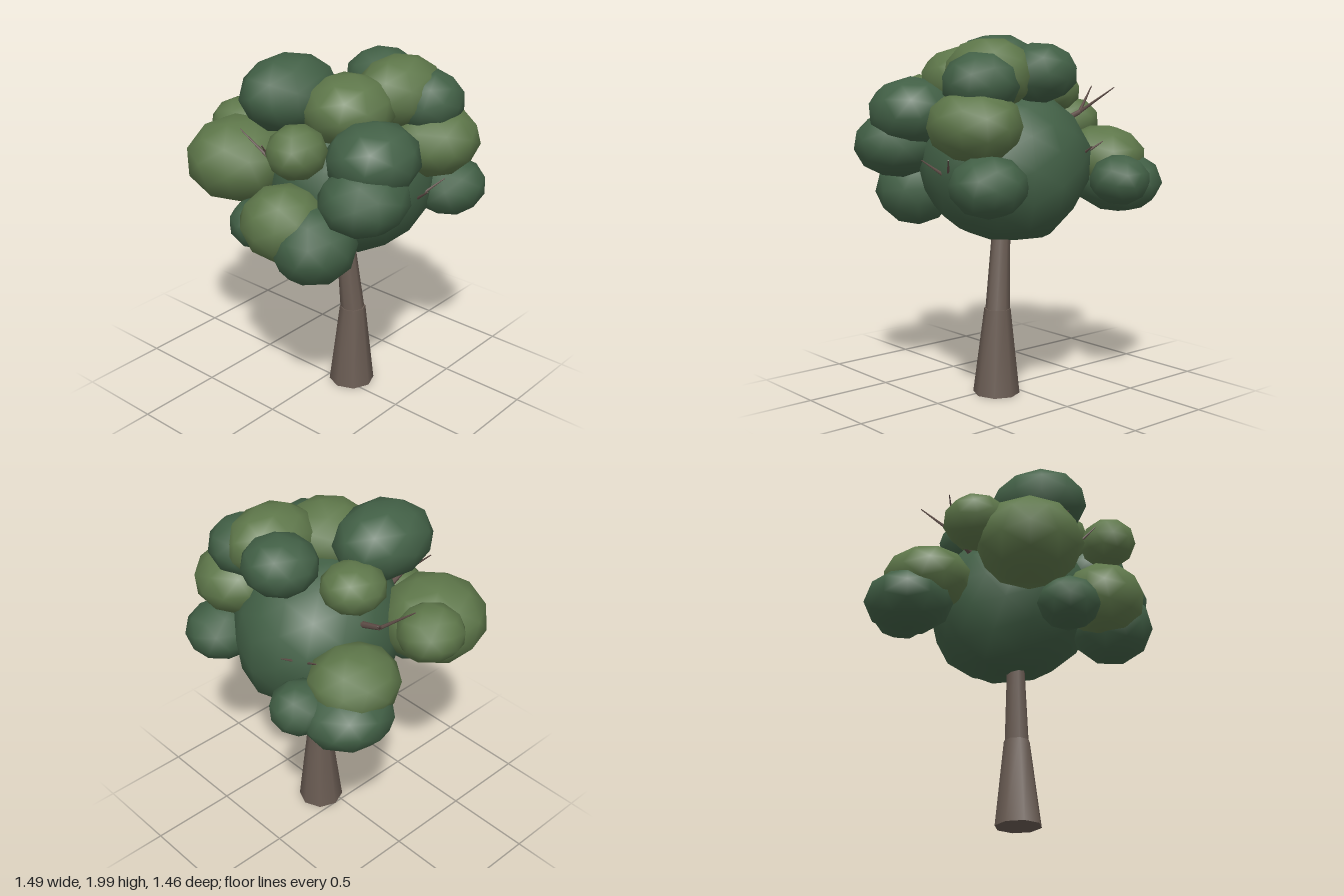
import * as THREE from 'three';
import { mergeVertices } from 'three/addons/utils/BufferGeometryUtils.js';

const mat = (name, color) => {
  const m = new THREE.MeshStandardMaterial({ color });
  m.name = name;
  return m;
};

// Smooth-shaded low-poly ball with welded vertices
function ballGeometry(detail) {
  const g = new THREE.IcosahedronGeometry(1, detail);
  g.deleteAttribute('uv');
  g.deleteAttribute('normal');
  return mergeVertices(g, 1e-4);
}

// Tapered limb between two points
function limb(name, a, b, r0, r1, sides, material) {
  const from = new THREE.Vector3(...a), to = new THREE.Vector3(...b);
  const dir = to.clone().sub(from);
  const mesh = new THREE.Mesh(new THREE.CylinderGeometry(r1, r0, dir.length(), sides), material);
  mesh.position.copy(from).addScaledVector(dir, 0.5);
  mesh.quaternion.setFromUnitVectors(new THREE.Vector3(0, 1, 0), dir.normalize());
  mesh.name = name;
  return mesh;
}

export function createModel() {
  const tree = new THREE.Group();
  tree.name = 'tree';
  const bark = mat('bark', 0x6a5c53);
  const twigBark = mat('twigBark', 0x62504a);
  const dark = mat('darkLeaves', 0x426046);
  const light = mat('lightLeaves', 0x5e774a);

  // Trunk in two tapered sections
  tree.add(limb('lowerTrunk', [0.125, 0, -0.053], [0.122, 0.485, -0.06], 0.131, 0.074, 8, bark));
  tree.add(limb('upperTrunk', [0.121, 0.47, -0.06], [0.065, 1.05, -0.035], 0.069, 0.046, 8, bark));

  // Large inner crown with a few bulging corners: direction, amount, sharpness
  const bulges = [
    [[-0.33, -0.43, 0], 0.26, 14],
    [[-0.8, 0.1, -0.6], 0.06, 10],
    [[0.04, -0.6, -0.85], 0.1, 14],
  ].map(([d, amount, power]) => [new THREE.Vector3(...d).normalize(), amount, power]);
  const core = ballGeometry(2);
  const pos = core.attributes.position;
  const v = new THREE.Vector3();
  for (let i = 0; i < pos.count; i++) {
    v.fromBufferAttribute(pos, i);
    v.multiplyScalar(bulges.reduce((s, [d, amount, power]) => s + amount * Math.max(0, v.dot(d)) ** power, 1));
    pos.setXYZ(i, v.x, v.y, v.z);
  }
  core.scale(0.455, 0.43, 0.48);
  core.computeVertexNormals();
  const crown = new THREE.Mesh(core, dark);
  crown.name = 'innerCrown';
  crown.position.set(0.095, 1.305, -0.075);
  tree.add(crown);

  // Leaf clumps: centre x, y, z, then radii x, y, z
  const darkClumps = [
    [-0.1, 1.8, 0.21, 0.235, 0.2, 0.29],
    [0.48, 1.58, 0.22, 0.24, 0.19, 0.25],
    [0.515, 1.4, 0.33, 0.225, 0.18, 0.25],
    [0.295, 1.125, 0.465, 0.22, 0.205, 0.23],
    [-0.13, 1.11, 0.42, 0.17, 0.14, 0.17],
    [0.495, 1.235, -0.43, 0.2, 0.16, 0.21],
    [-0.31, 1.22, -0.57, 0.16, 0.135, 0.165],
    [-0.475, 1.185, -0.4, 0.235, 0.17, 0.25],
    [0.08, 1.795, -0.35, 0.205, 0.155, 0.2],
    [0.425, 1.745, -0.29, 0.2, 0.165, 0.205],
  ];
  const lightClumps = [
    [0.305, 1.79, -0.21, 0.215, 0.19, 0.265],
    [0.215, 1.75, 0.1, 0.24, 0.185, 0.25],
    [0.12, 1.215, 0.505, 0.23, 0.2, 0.225],
    [0.215, 1.63, 0.5, 0.15, 0.14, 0.16],
    [-0.38, 1.39, 0.32, 0.29, 0.23, 0.29],
    [-0.565, 1.49, 0.1, 0.18, 0.145, 0.18],
    [-0.43, 1.315, -0.315, 0.235, 0.18, 0.25],
    [0.475, 1.535, -0.3, 0.24, 0.19, 0.26],
    [-0.21, 1.69, -0.11, 0.175, 0.13, 0.175],
  ];
  const addClumps = (name, clumps, material) => clumps.forEach(([x, y, z, rx, ry, rz], i) => {
    const g = ballGeometry(1);
    g.rotateX(i * 1.3 + 0.4);
    g.rotateY(i * 2.1);
    g.scale(rx * 1.025, ry * 1.025, rz * 1.025);
    g.computeVertexNormals();
    const mesh = new THREE.Mesh(g, material);
    mesh.name = name + (i + 1);
    mesh.position.set(x, y, z);
    tree.add(mesh);
  });
  addClumps('darkClump', darkClumps, dark);
  addClumps('lightClump', lightClumps, light);

  // Forked bare twigs: base, fork, then two tips
  const twigs = [
    [[-0.045, 1.42, 0.3], [-0.055, 1.48, 0.4], [-0.21, 1.64, 0.47], [0, 1.62, 0.53]],
    [[-0.28, 1.5, -0.12], [-0.43, 1.56, -0.135], [-0.56, 1.7, -0.28], [-0.6, 1.7, -0.06]],
    [[-0.1, 1.3, -0.35], [-0.15, 1.34, -0.42], [-0.13, 1.41, -0.54], [-0.3, 1.42, -0.45]],
    [[0.42, 1.22, -0.11], [0.5, 1.25, -0.11], [0.63, 1.35, -0.05], [0.6, 1.36, -0.24]],
  ];
  twigs.forEach(([base, fork, tipA, tipB], i) => {
    const twig = new THREE.Group();
    twig.name = 'twig' + (i + 1);
    twig.add(limb('twigStem', base, fork, 0.018, 0.013, 6, twigBark));
    for (const tip of [tipA, tipB]) twig.add(limb('twigTip', fork, tip, 0.011, 0.003, 5, twigBark));
    tree.add(twig);
  });
  return tree;
}
